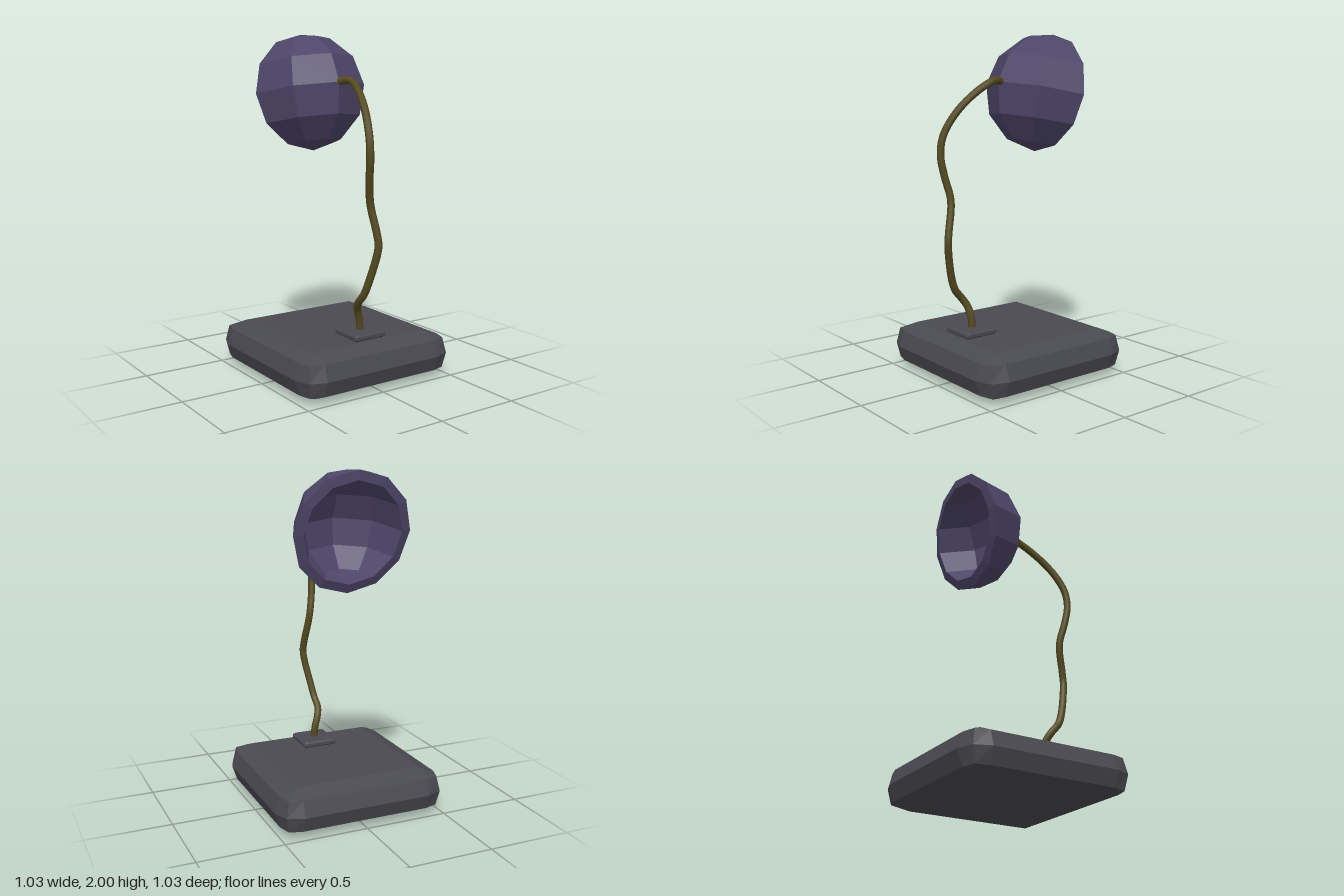
import * as THREE from 'three';

const purple = new THREE.MeshStandardMaterial({ color: 0x4d4568, side: THREE.DoubleSide });
const grey = new THREE.MeshStandardMaterial({ color: 0x494950 });
const brass = new THREE.MeshStandardMaterial({ color: 0x54491f });
purple.name = 'shade purple';
grey.name = 'base grey';
brass.name = 'neck brass';

function flat(geometry) {
  const g = geometry.index ? geometry.toNonIndexed() : geometry;
  g.computeVertexNormals();
  return g;
}

// Joins equal-length loops of points into one faceted surface
function loft(loops) {
  const pos = [];
  const n = loops[0].length;
  for (let i = 0; i < loops.length - 1; i++) {
    for (let j = 0; j < n; j++) {
      const k = (j + 1) % n;
      const a = loops[i], b = loops[i + 1];
      pos.push(...a[j], ...b[j], ...a[k], ...b[j], ...b[k], ...a[k]);
    }
  }
  const g = new THREE.BufferGeometry();
  g.setAttribute('position', new THREE.Float32BufferAttribute(pos, 3));
  return flat(g);
}

// Square loop with bevelled corners: half width w, straight half length s, corner at (c, c)
function squareLoop(y, w, s, c) {
  const pts = [];
  for (const [sin, cos] of [[0, 1], [1, 0], [0, -1], [-1, 0]]) {
    for (const [x, z] of [[w, s], [c, c], [s, w]]) {
      pts.push([x * cos - z * sin, y, x * sin + z * cos]);
    }
  }
  return pts;
}

const slab = (rows) => loft(rows.map((r) => squareLoop(...r)));

function add(parent, name, geometry, material) {
  const mesh = new THREE.Mesh(geometry, material);
  mesh.name = name;
  parent.add(mesh);
  return mesh;
}

export function createModel() {
  const lamp = new THREE.Group();
  lamp.name = 'deskLamp';

  // Pillow-shaped base
  add(lamp, 'base', slab([
    [0, 0, 0, 0],
    [0.006, 0.385, 0.385, 0.385],
    [0.048, 0.485, 0.385, 0.463],
    [0.138, 0.516, 0.385, 0.48],
    [0.23, 0.485, 0.385, 0.463],
    [0.271, 0.385, 0.385, 0.385],
    [0.274, 0, 0, 0],
  ]), grey);

  // Small plate where the neck is fixed
  add(lamp, 'neckMount', slab([
    [0, 0, 0, 0],
    [0, 0.096, 0.088, 0.094],
    [0.01, 0.108, 0.092, 0.103],
    [0.028, 0.108, 0.092, 0.103],
    [0.038, 0.096, 0.088, 0.094],
    [0.038, 0, 0, 0],
  ]), grey).position.set(0.008, 0.27, 0.264);

  // Bent neck
  const path = new THREE.CatmullRomCurve3([
    [0.01, 0.29, 0.262], [0, 0.37, 0.264], [-0.02, 0.43, 0.275], [-0.036, 0.48, 0.305],
    [-0.032, 0.535, 0.352], [-0.02, 0.62, 0.386], [0.012, 0.82, 0.428], [0.008, 0.89, 0.419],
    [-0.016, 1.06, 0.387], [-0.041, 1.2, 0.412], [-0.05, 1.31, 0.43], [-0.047, 1.41, 0.42],
    [-0.032, 1.5, 0.38], [-0.005, 1.6, 0.305], [0.025, 1.69, 0.2], [0.036, 1.73, 0.125],
    [0.025, 1.735, 0.085], [0.005, 1.722, 0.04],
  ].map((p) => new THREE.Vector3(...p)));
  add(lamp, 'neck', new THREE.TubeGeometry(path, 110, 0.022, 10), brass);

  // Half-dome shade, tipped back, open at the rear
  const shade = new THREE.Group();
  shade.name = 'shade';
  shade.position.set(0, 1.654, -0.286);
  shade.rotation.x = -0.205;
  lamp.add(shade);
  const outer = 0.353, inner = 0.298, lip = -0.012;
  const dome = (r) => flat(new THREE.SphereGeometry(r, 4, 6, 0, Math.PI));
  add(shade, 'shadeOuter', dome(outer), purple);
  add(shade, 'shadeInner', dome(inner), purple).position.z = lip;

  // Rim joining the two shells
  const rimLoop = (r, z) => Array.from({ length: 12 }, (_, i) => {
    const a = (i * Math.PI) / 6;
    return [r * Math.sin(a), r * Math.cos(a), z];
  });
  add(shade, 'shadeRim', loft([rimLoop(outer, 0), rimLoop(inner, lip)]), purple);

  return lamp;
}
